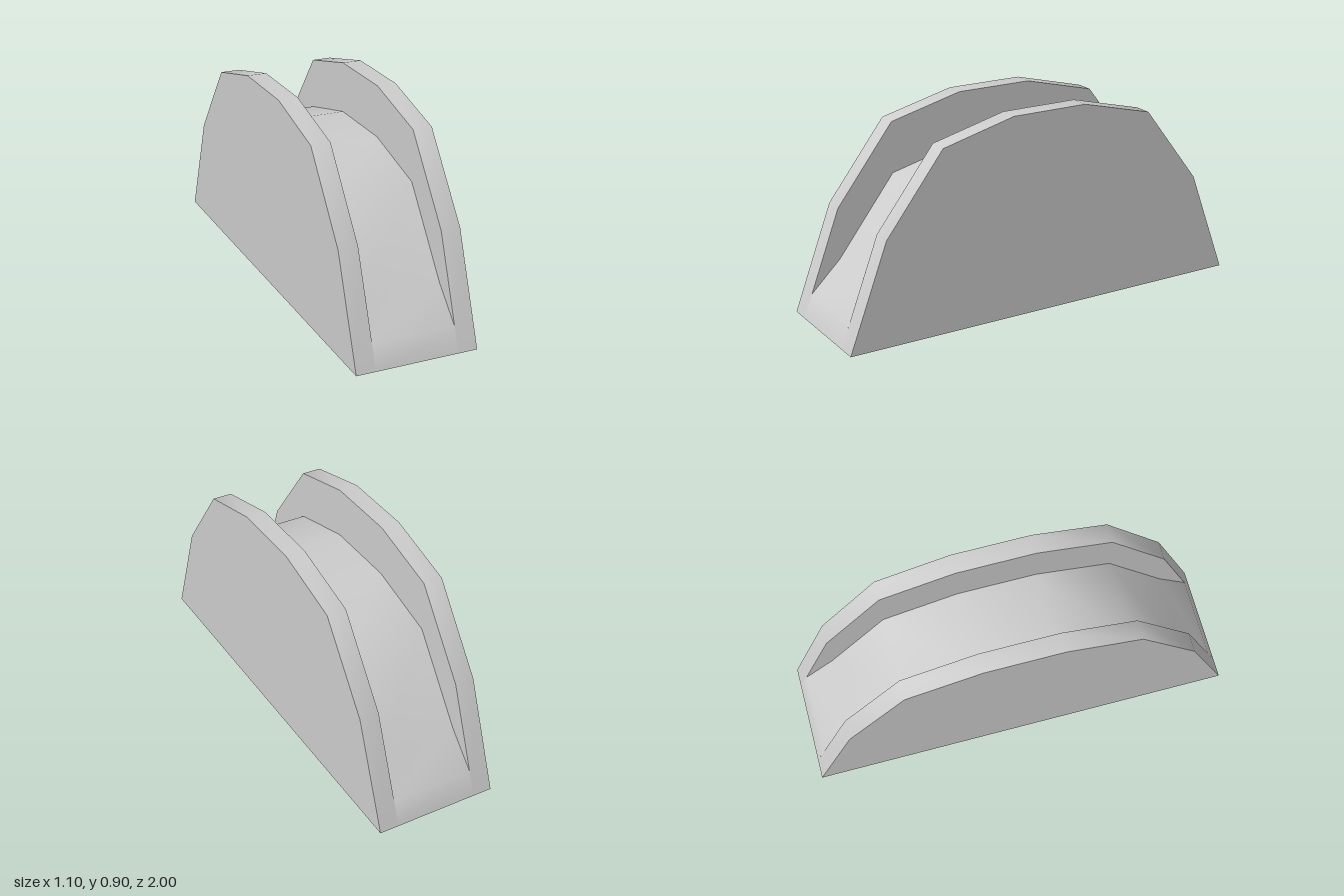
import * as THREE from 'three';

const HALF_W = 0.273; // outer half width
const HALF_G = 0.186; // half width of the groove
const HALF_L = 0.9625; // half length of the base

export function createModel() {
  const model = new THREE.Group();
  model.name = 'groovedHolder';
  const body = new THREE.Group();
  body.name = 'body';
  body.rotation.y = -0.306;
  model.add(body);

  const grey = new THREE.MeshStandardMaterial({ color: 0xcccccc, side: THREE.DoubleSide });
  grey.name = 'light grey';

  const add = (name, geometry) => {
    const mesh = new THREE.Mesh(geometry, grey);
    mesh.name = name;
    body.add(mesh);
    return mesh;
  };

  // Arched profiles as [z, y], mirrored so they run from back to front
  const mirror = (half) => [...half.map(([z, y]) => [-z, y]), ...half.slice().reverse()];
  const arch = [[0.784, 0.473], [0.516, 0.82], [0.178, 0.905]];
  const groove = [[0.784, 0.24], [0.516, 0.588], [0.178, 0.673]];
  const lip = [0.923, 0.105];
  const rimLine = mirror([[HALF_L, 0], ...arch]);
  const floorLine = mirror([[HALF_L, 0], lip, ...groove]);

  // Smooth band following a profile between two x positions
  const band = (line, x0, x1) => {
    const geo = new THREE.PlaneGeometry(1, 1, 1, line.length - 1);
    const pos = geo.attributes.position;
    line.forEach(([z, y], i) => {
      pos.setXYZ(i * 2, x0, y, z);
      pos.setXYZ(i * 2 + 1, x1, y, z);
    });
    geo.computeVertexNormals();
    return geo;
  };

  // Flat upright panel at x, facing the given side
  const panel = (points, x, facing) => {
    const shape = new THREE.Shape(points.map(([z, y]) => new THREE.Vector2(z, y)));
    return new THREE.ShapeGeometry(shape).rotateY((facing * Math.PI) / 2).translate(x, 0, 0);
  };

  // Groove floor with its front and back lips
  add('grooveFloor', band(floorLine, -HALF_G, HALF_G));

  // Side cheeks: outer face, inner face above the groove, and rim
  const innerOutline = [...mirror([lip, ...arch]), ...mirror(groove).reverse()];
  for (const [side, s] of [['left', 1], ['right', -1]]) {
    add(side + 'OuterFace', panel(rimLine, s * HALF_W, s));
    add(side + 'InnerFace', panel(innerOutline, s * HALF_G, -s));
    const [x0, x1] = s > 0 ? [HALF_G, HALF_W] : [-HALF_W, -HALF_G];
    add(side + 'Rim', band(rimLine, x0, x1));
  }

  // Base plate with a ten-sided hole opening into the hollow body
  const base = new THREE.Shape([
    new THREE.Vector2(-HALF_W, -HALF_L), new THREE.Vector2(HALF_W, -HALF_L),
    new THREE.Vector2(HALF_W, HALF_L), new THREE.Vector2(-HALF_W, HALF_L),
  ]);
  const ring = Array.from({ length: 10 }, (_, i) => {
    const a = (i / 10) * Math.PI * 2;
    return new THREE.Vector2(0.125 * Math.cos(a), 0.125 * Math.sin(a));
  });
  base.holes.push(new THREE.Path(ring));
  add('basePlate', new THREE.ShapeGeometry(base).rotateX(Math.PI / 2));

  return model;
}
